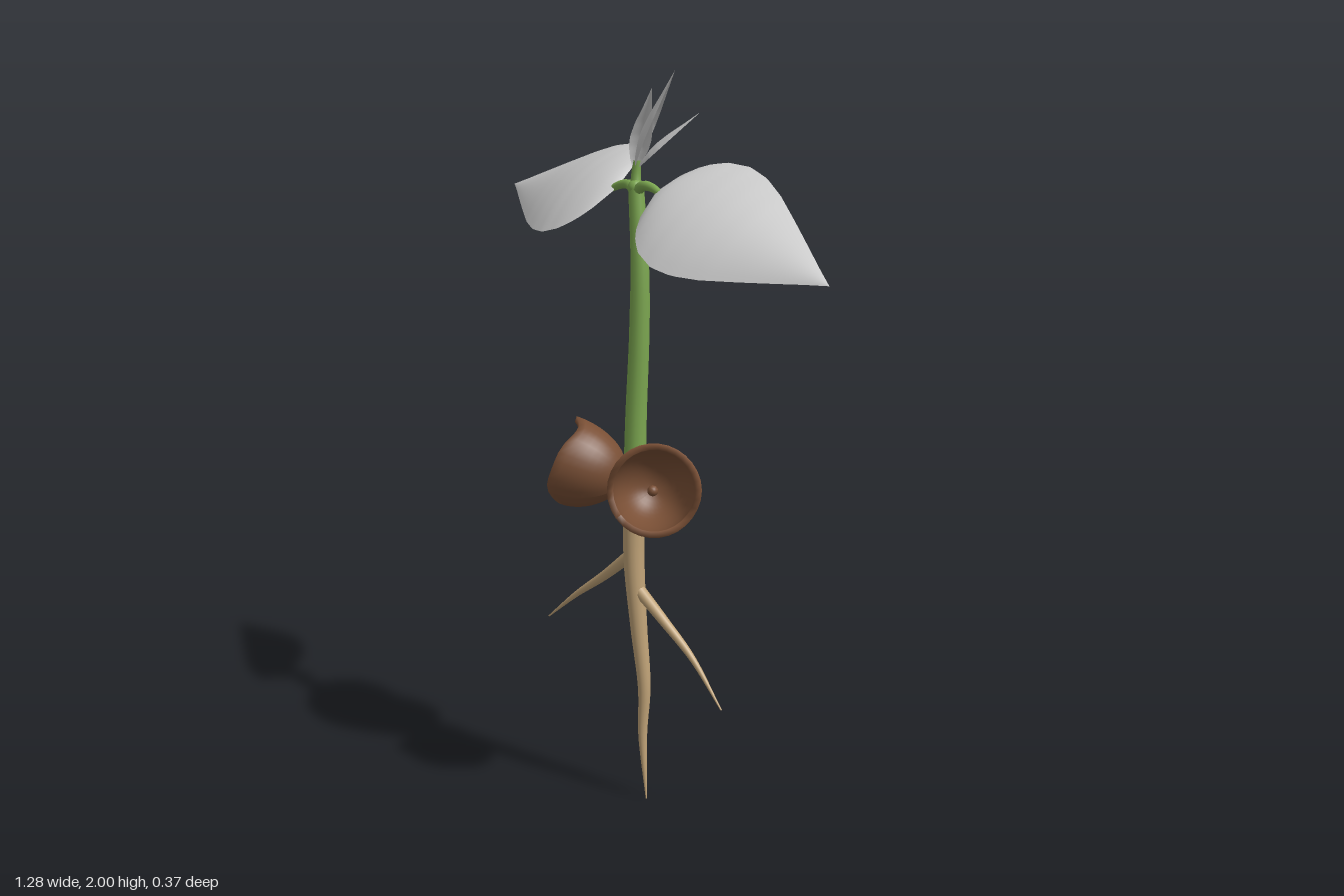
import * as THREE from 'three';

const V = (p) => new THREE.Vector3(...p);
const mat = (name, color, double) => {
  const m = new THREE.MeshStandardMaterial({ color });
  m.name = name;
  if (double) m.side = THREE.DoubleSide;
  return m;
};

// Piecewise-linear lookup in a list of [t, value] pairs
function lookup(table, t) {
  for (let i = 1; i < table.length; i++) {
    const [t0, a] = table[i - 1], [t1, b] = table[i];
    if (t <= t1) return a + (b - a) * (t - t0) / (t1 - t0);
  }
  return table[table.length - 1][1];
}

// Tube along a smooth path whose thickness follows a list of [t, radius]
function taperedTube(points, radii, steps = 28, sides = 14) {
  const curve = new THREE.CatmullRomCurve3(points.map(V));
  const geo = new THREE.TubeGeometry(curve, steps, 1, sides);
  const pos = geo.attributes.position, v = new THREE.Vector3();
  for (let i = 0; i <= steps; i++) {
    const centre = curve.getPointAt(i / steps), r = lookup(radii, i / steps);
    for (let j = 0; j <= sides; j++) {
      const k = i * (sides + 1) + j;
      v.fromBufferAttribute(pos, k).sub(centre).multiplyScalar(r).add(centre);
      pos.setXYZ(k, v.x, v.y, v.z);
    }
  }
  return geo;
}

// Cupped leaf blade: base to tip, side = half-width vector, bulge = height of the arch
const BROAD = [[0, 0.06], [0.03, 0.42], [0.08, 0.7], [0.16, 0.9], [0.27, 1], [0.38, 0.96],
  [0.5, 0.82], [0.65, 0.58], [0.8, 0.33], [0.9, 0.16], [1, 0]];
const SLIM = [[0, 0.15], [0.1, 0.55], [0.25, 0.92], [0.38, 1], [0.55, 0.82], [0.75, 0.42], [1, 0]];
function leafBlade(base, tip, side, bulge, outline) {
  const a = V(base), axis = V(tip).sub(a), w = V(side);
  const up = new THREE.Vector3().crossVectors(w, axis).normalize();
  if (up.y < 0) up.negate();
  const geo = new THREE.PlaneGeometry(1, 2, 30, 14);
  const pos = geo.attributes.position, p = new THREE.Vector3();
  for (let i = 0; i < pos.count; i++) {
    const t = pos.getX(i) + 0.5, s = pos.getY(i), width = lookup(outline, t);
    p.copy(a).addScaledVector(axis, t).addScaledVector(w, s * width)
      .addScaledVector(up, bulge * width * (1 - s * s));
    pos.setXYZ(i, p.x, p.y, p.z);
  }
  geo.computeVertexNormals();
  return geo;
}

// Hollow half shell opening along +y, with an uneven rim
function seedShell(radius, depth, wall) {
  const profile = [], n = 12;
  for (let i = 0; i <= n; i++) {
    const q = i / n * Math.PI / 2;
    profile.push(new THREE.Vector2(radius * Math.sin(q), -depth * Math.cos(q)));
  }
  for (let i = n; i >= 0; i--) {
    const q = i / n * Math.PI / 2;
    profile.push(new THREE.Vector2((radius - wall) * Math.sin(q), -(depth - wall) * Math.cos(q)));
  }
  const geo = new THREE.LatheGeometry(profile, 30);
  const pos = geo.attributes.position;
  for (let i = 0; i < pos.count; i++) {
    const x = pos.getX(i), y = pos.getY(i), z = pos.getZ(i);
    const nearRim = Math.pow(Math.max(0, 1 + y / depth), 2);
    const angle = Math.atan2(x, z);
    pos.setY(i, y + nearRim * (0.014 * Math.sin(3 * angle) + 0.006 * Math.cos(5 * angle)));
  }
  geo.computeVertexNormals();
  return geo;
}

export function createModel() {
  const model = new THREE.Group();
  model.name = 'seedling';
  const green = mat('stem green', 0x7da851);
  const tan = mat('root tan', 0xbfa277);
  const brown = mat('seed brown', 0x794f35, true);
  const grey = mat('leaf grey', 0xc8c8c8, true);

  const add = (name, geo, material, parent = model) => {
    const mesh = new THREE.Mesh(geo, material);
    mesh.name = name;
    parent.add(mesh);
    return mesh;
  };

  // Stem and the joint on top
  add('stem', taperedTube(
    [[0.02, 0.9, -0.008], [0.025, 1.1, -0.01], [0.036, 1.32, -0.012], [0.038, 1.5, -0.012], [0.022, 1.7, -0.012]],
    [[0, 0.031], [0.6, 0.027], [1, 0.021]]), green);
  add('stemJoint', new THREE.SphereGeometry(0.022, 14, 10), green).position.set(0.021, 1.7, -0.012);
  add('budStalk', taperedTube(
    [[0.021, 1.69, -0.012], [0.016, 1.73, -0.016], [0.018, 1.77, -0.018]],
    [[0, 0.016], [1, 0.01]], 10, 10), green);

  // Leaf stalks
  add('leftLeafStalk', taperedTube(
    [[0.02, 1.69, -0.012], [0.06, 1.708, -0.008], [0.1, 1.704, -0.008], [0.13, 1.69, -0.01]],
    [[0, 0.016], [1, 0.009]], 14, 10), green);
  add('rightLeafStalk', taperedTube(
    [[0.02, 1.69, -0.012], [-0.02, 1.705, -0.022], [-0.06, 1.703, -0.025], [-0.1, 1.69, -0.022]],
    [[0, 0.016], [1, 0.009]], 14, 10), green);

  // Two broad leaves
  add('leftLeaf', leafBlade([0.115, 1.695, -0.008], [0.64, 1.505, -0.118],
    [0, -0.115, 0.16], 0.04, BROAD), grey);
  add('rightLeaf', leafBlade([-0.08, 1.692, -0.022], [-0.645, 1.665, -0.07],
    [0.015, -0.11, 0.158], 0.04, BROAD), grey);

  // Young leaves in the bud
  const bud = new THREE.Group();
  bud.name = 'bud';
  model.add(bud);
  [
    [[0.012, 1.75, -0.018], [0.157, 2, -0.032], [0.02, -0.014, 0.032], 0.022],
    [[0.018, 1.75, -0.022], [0.165, 1.895, -0.108], [0.016, -0.008, 0.026], 0.016],
    [[0.014, 1.75, -0.012], [0.108, 1.955, 0.004], [-0.016, 0.006, 0.022], 0.014],
  ].forEach(([base, tip, side, bulge]) =>
    add('youngLeaf', leafBlade(base, tip, side, bulge, SLIM), grey, bud));

  // Collar where stem meets root
  add('rootCollar', new THREE.CylinderGeometry(0.033, 0.033, 0.066, 20), tan).position.set(0.02, 0.89, -0.008);
  add('collarRing', new THREE.CylinderGeometry(0.0325, 0.0325, 0.009, 20), green).position.set(0.02, 0.853, -0.008);

  // Main root and side roots
  add('mainRoot', taperedTube(
    [[0.02, 0.88, -0.008], [0.021, 0.7, -0.006], [0.036, 0.5, -0.012], [0.05, 0.33, -0.02],
      [0.046, 0.19, -0.018], [0.058, 0, -0.022]],
    [[0, 0.031], [0.25, 0.028], [0.55, 0.02], [0.8, 0.012], [1, 0.002]], 36), tan);
  const thin = [[0, 0.018], [0.5, 0.011], [1, 0.002]];
  add('rightSideRoot', taperedTube(
    [[0.02, 0.715, -0.005], [-0.09, 0.625, 0.015], [-0.19, 0.55, 0.038], [-0.295, 0.46, 0.062]], thin, 20, 10), tan);
  add('leftSideRoot', taperedTube(
    [[0.035, 0.615, -0.01], [0.12, 0.545, -0.03], [0.21, 0.455, -0.06], [0.303, 0.33, -0.086]], thin, 20, 10), tan);

  // Split seed, one half on each side
  const shellGeo = seedShell(0.122, 0.165, 0.016);
  for (const [name, side, x, z] of [['leftSeedHalf', 1, 0.215, 0.075], ['rightSeedHalf', -1, -0.185, 0.065]]) {
    const half = new THREE.Group();
    half.name = name;
    half.position.set(x, 0.945, z);
    half.quaternion.setFromUnitVectors(V([0, 1, 0]), V([0.77 * side, 0.26, 0.56]).normalize());
    add('seedShell', shellGeo, brown, half);
    add('seedScar', new THREE.SphereGeometry(0.015, 10, 8), brown, half).position.y = -0.14;
    model.add(half);
  }
  return model;
}
